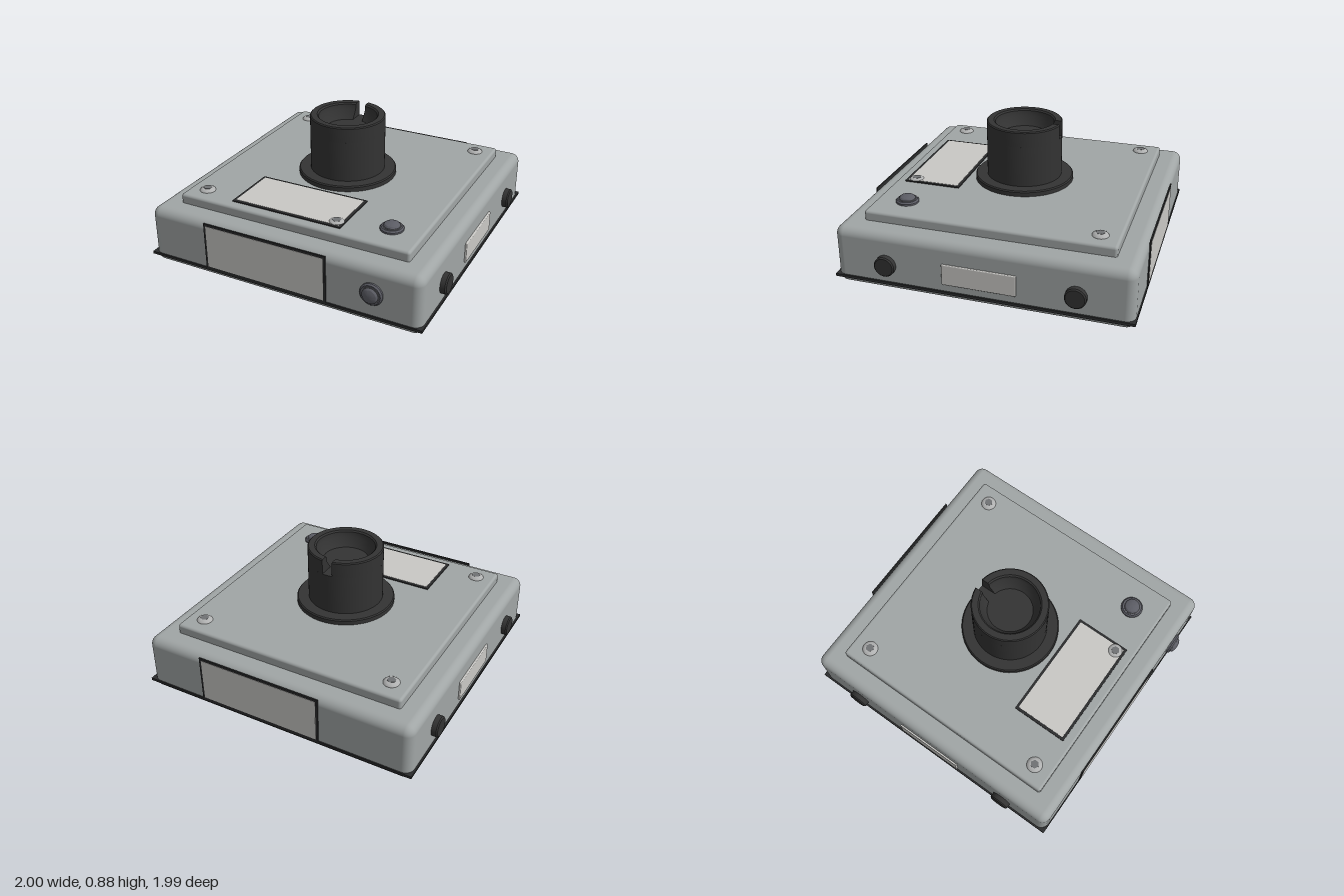
import * as THREE from 'three';
import { toCreasedNormals } from 'three/addons/utils/BufferGeometryUtils.js';
import { RoundedBoxGeometry } from 'three/addons/geometries/RoundedBoxGeometry.js';

const CZ = -0.017; // centre of the housing in z

export function createModel() {
  const root = new THREE.Group();
  root.name = 'deviceBox';

  const mat = (name, color, side = THREE.FrontSide) => {
    const m = new THREE.MeshStandardMaterial({ color, side });
    m.name = name;
    return m;
  };
  const gray = mat('housingGray', 0xa0a5a5);
  const black = mat('blackPlastic', 0x333333, THREE.DoubleSide);
  const trim = mat('trimBlack', 0x2b2c2d);
  const panel = mat('panelLight', 0xc9c8c5);
  const steel = mat('screwSteel', 0xb0b1b1);
  const socket = mat('socketGray', 0x707274);
  const slate = mat('buttonSlate', 0x5c5d65);
  const ring = mat('buttonRing', 0x6d6e72);

  const add = (name, geo, m, x = 0, y = 0, z = 0, parent = root) => {
    const mesh = new THREE.Mesh(geo, m);
    mesh.name = name;
    mesh.position.set(x, y, z);
    parent.add(mesh);
    return mesh;
  };
  const group = (name, x = 0, y = 0, z = 0) => {
    const g = new THREE.Group();
    g.name = name;
    g.position.set(x, y, z);
    root.add(g);
    return g;
  };
  const box = (w, h, d) => new THREE.BoxGeometry(w, h, d);
  const lathe = (pts, seg = 48) => toCreasedNormals(
    new THREE.LatheGeometry(pts.map(p => new THREE.Vector2(...p)), seg), 0.5);

  // Housing, lid and the seam plate between shell and base
  add('housing', new RoundedBoxGeometry(1.92, 0.4, 1.93, 5, 0.06), gray, 0, 0.2, CZ);
  add('lid', new RoundedBoxGeometry(1.63, 0.08, 1.635, 4, 0.018), gray, 0, 0.425, CZ);
  add('seamPlate', box(1.942, 0.018, 1.945), trim, 0, 0.057, CZ);

  // Socket: flange and lower tube
  const knob = group('socket', 0, 0, CZ);
  add('flange', lathe([[0, 0.464], [0.335, 0.464], [0.335, 0.494], [0.328, 0.502], [0.25, 0.502]], 64),
    black, 0, 0, 0, knob);
  const floorY = 0.78;
  add('tube', lathe([[0.255, 0.495], [0.255, floorY], [0, floorY]], 64), black, 0, 0, 0, knob);

  // Upper rim, opened by a parallel-sided slot toward the back
  const half = 0.035, seg = 64;
  const profile = [[0.255, floorY], [0.255, 0.878], [0.248, 0.885], [0.207, 0.885],
    [0.197, 0.875], [0.193, 0.84], [0.152, floorY]];
  const rim = new THREE.LatheGeometry(profile.map(p => new THREE.Vector2(...p)), seg);
  const pos = rim.attributes.position;
  for (let i = 0; i <= seg; i++) {
    profile.forEach(([r, y], j) => {
      const a = Math.asin(half / r);
      const phi = Math.PI + a + (i / seg) * (2 * Math.PI - 2 * a);
      pos.setXYZ(i * profile.length + j, r * Math.sin(phi), y, r * Math.cos(phi));
    });
  }
  add('rim', toCreasedNormals(rim, 0.5), black, 0, 0, 0, knob);
  const wall = new THREE.ShapeGeometry(new THREE.Shape(
    profile.map(([r, y]) => new THREE.Vector2(Math.sqrt(r * r - half * half), y))));
  wall.rotateY(Math.PI / 2);
  for (const s of [-1, 1]) add('slotWall', wall, black, s * half, 0, 0, knob);

  // Bordered plates, built facing +z
  const plate = (name, w, h, border) => {
    const g = group(name);
    add('border', box(w, h, 0.009), trim, 0, 0, 0, g);
    add('face', box(w - 2 * border, h - 2 * border, 0.004), panel, 0, 0, 0.0045, g);
    return g;
  };
  const label = plate('topLabel', 0.78, 0.39, 0.018);
  label.rotation.x = -Math.PI / 2;
  label.position.set(-0.064, 0.468, 0.542);
  plate('frontPanel', 0.875, 0.33, 0.016).position.set(-0.098, 0.225, CZ + 0.968);
  const back = plate('backPanel', 0.875, 0.33, 0.016);
  back.rotation.y = Math.PI;
  back.position.set(0.098, 0.225, CZ - 0.968);

  // Side plates and bumper discs, mirrored
  const disc = lathe([[0, -0.02], [0.068, -0.02], [0.068, 0.033], [0.06, 0.041], [0, 0.041]], 32);
  for (const s of [-1, 1]) {
    add('sidePlate', new RoundedBoxGeometry(0.03, 0.142, 0.48, 2, 0.006), panel, s * 0.957, 0.185, -0.018);
    for (const z of [0.597, -0.63]) {
      add('bumper', disc, black, s * 0.959, 0.185, z).rotation.z = -s * Math.PI / 2;
    }
  }

  // Push buttons: collar and domed cap
  const button = (name) => {
    const g = group(name);
    add('collar', lathe([[0.075, 0], [0.075, 0.012], [0.066, 0.022], [0, 0.022]], 32), slate, 0, 0, 0, g);
    add('ring', lathe([[0.057, 0.02], [0.057, 0.026], [0.05, 0.026]], 32), ring, 0, 0, 0, g);
    add('cap', lathe([[0.053, 0.02], [0.052, 0.03], [0.045, 0.039], [0.03, 0.045], [0.015, 0.048], [0, 0.049]], 32),
      slate, 0, 0, 0, g);
    return g;
  };
  button('topButton').position.set(0.608, 0.464, 0.592);
  const fb = button('frontButton');
  fb.rotation.x = Math.PI / 2;
  fb.position.set(0.643, 0.22, CZ + 0.964);

  // Lid screws with hexagonal sockets
  const head = lathe([[0.053, 0], [0.052, 0.005], [0.046, 0.012], [0.036, 0.018], [0.028, 0.02], [0, 0.02]], 24);
  const hex = new THREE.CylinderGeometry(0.029, 0.029, 0.004, 6);
  for (const [x, z] of [[-0.69, -0.705], [0.69, -0.705], [-0.69, 0.673], [0.272, 0.673]]) {
    const g = group('screw', x, 0.464, z);
    add('head', head, steel, 0, 0, 0, g);
    add('hexSocket', hex, socket, 0, 0.0195, 0, g);
  }
  return root;
}
